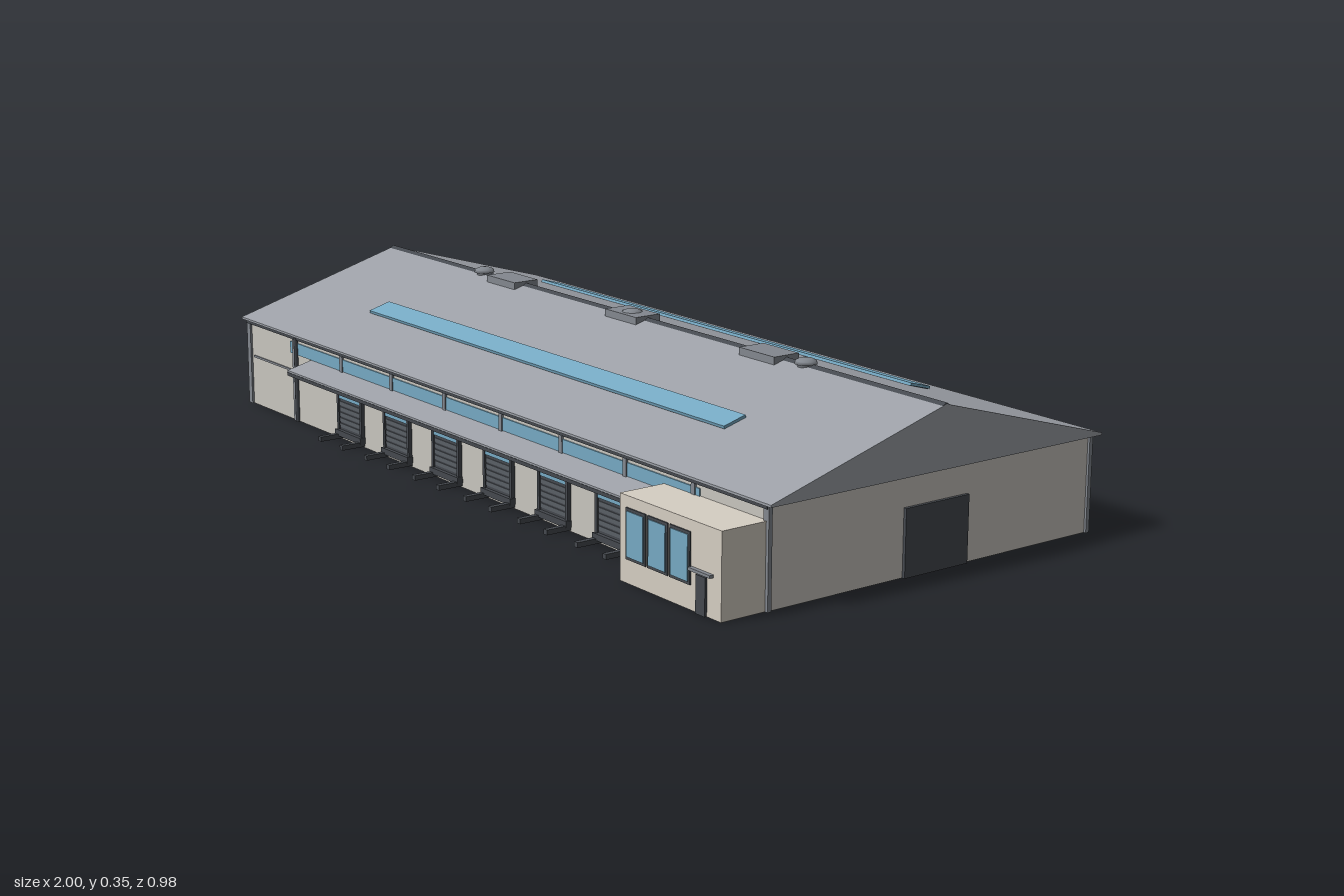
import * as THREE from 'three';

const mat = (color) => new THREE.MeshStandardMaterial({ color });
const M = {
  wall: mat(0xc9c6bf), roof: mat(0x9da1a8), office: mat(0xd6cfc3), steel: mat(0x83888f),
  dark: mat(0x45494f), slat: mat(0x5a5f66), glass: mat(0x76aac4),
};
const FRONT = 0.37, BACK = -0.47, EAVE = 0.209, RIDGE = 0.336, RIDGE_Z = -0.053;

// Box given by its limits on each axis
function block(parent, name, material, [x0, x1], [y0, y1], [z0, z1]) {
  const mesh = new THREE.Mesh(new THREE.BoxGeometry(x1 - x0, y1 - y0, z1 - z0), material);
  mesh.position.set((x0 + x1) / 2, (y0 + y1) / 2, (z0 + z1) / 2);
  mesh.name = name;
  parent.add(mesh);
  return mesh;
}

function group(parent, name) {
  const g = new THREE.Group();
  g.name = name;
  parent.add(g);
  return g;
}

// Prism with a profile of [z, y] points, running along x
function prism(parent, name, material, points, x0, x1) {
  const shape = new THREE.Shape(points.map(([z, y]) => new THREE.Vector2(-z, y)));
  const geo = new THREE.ExtrudeGeometry(shape, { depth: x1 - x0, bevelEnabled: false });
  geo.rotateY(Math.PI / 2).translate(x0, 0, 0);
  const mesh = new THREE.Mesh(geo, material);
  mesh.name = name;
  parent.add(mesh);
  return mesh;
}

// Slatted door; local z = 0 is the wall, +z points outwards
function shutter(parent, name, x, z, turned, guides) {
  const g = group(parent, name);
  g.position.set(x, 0, z);
  if (turned) g.rotation.y = Math.PI;
  block(g, 'doorPanel', M.dark, [-0.053, 0.053], [0.012, 0.123], [-0.002, 0.005]);
  for (let i = 0; i < 5; i++) {
    const y = 0.03 + i * 0.013;
    block(g, 'doorSlat', M.slat, [-0.045, 0.045], [y, y + 0.009], [0.004, 0.0065]);
  }
  for (const s of [-1, 1])
    block(g, 'doorJamb', M.dark, [s * 0.05 - 0.004, s * 0.05 + 0.004], [0.012, 0.123], [0, 0.009]);
  block(g, 'doorHeader', M.dark, [-0.057, 0.057], [0.12, 0.132], [0, 0.009]);
  if (guides) {
    block(g, 'doorWindow', M.glass, [-0.045, 0.045], [0.098, 0.11], [0.003, 0.008]);
    block(g, 'dockSill', M.dark, [-0.056, 0.056], [0.01, 0.024], [0, 0.014]);
    for (const s of [-1, 1])
      block(g, 'dockGuide', M.dark, [s * 0.048 - 0.006, s * 0.048 + 0.006], [0.003, 0.014], [0, 0.06]);
  } else {
    block(g, 'doorSill', M.dark, [-0.06, 0.06], [0.003, 0.025], [0, 0.015]);
  }
}

export function createModel() {
  const model = new THREE.Group();
  model.name = 'warehouse';

  // Hall
  block(model, 'hall', M.wall, [-0.982, 0.982], [0, 0.212], [BACK, FRONT]);

  // Roof
  prism(model, 'roof', M.roof, [[0.381, EAVE - 0.003], [0.381, EAVE + 0.002], [RIDGE_Z, RIDGE],
    [-0.487, EAVE + 0.002], [-0.487, EAVE - 0.003]], -1, 1);
  prism(model, 'ridgeCap', M.dark, [[RIDGE_Z + 0.01, RIDGE - 0.003], [RIDGE_Z, RIDGE + 0.003],
    [RIDGE_Z - 0.01, RIDGE - 0.003]], -1, 1);

  // Skylights, one on each slope
  for (const s of [-1, 1]) {
    const sky = new THREE.Mesh(new THREE.BoxGeometry(1.33, 0.006, 0.056), M.glass);
    sky.name = 'skylight';
    sky.position.set(0, 0.269, RIDGE_Z + s * 0.247);
    sky.rotation.x = s * 0.27;
    model.add(sky);
    const rim = block(sky, 'skylightCurb', M.dark, [-0.662, 0.662], [-0.008, -0.002], [-0.027, 0.027]);
    rim.name = 'skylightCurb';
  }

  // Ridge units and round vents
  for (const x of [-0.47, 0, 0.47])
    block(model, 'roofUnit', M.steel, [x - 0.057, x + 0.057], [0.322, 0.343], [RIDGE_Z - 0.033, RIDGE_Z + 0.033]);
  for (const x of [-0.588, 0, 0.588]) {
    const profile = [[0.018, 0.32], [0.018, 0.335], [0.024, 0.337], [0.022, 0.344], [0.013, 0.348], [0, 0.35]];
    const vent = new THREE.Mesh(
      new THREE.LatheGeometry(profile.map((p) => new THREE.Vector2(...p)), 20), M.steel);
    vent.name = 'roofVent';
    vent.position.set(x, 0, RIDGE_Z);
    model.add(vent);
  }

  // Posts, glazing strip, rail and gutter on both long walls
  for (const [name, z, out] of [['frontWall', FRONT, 1], ['backWall', BACK, -1]]) {
    const g = group(model, name);
    const span = (a, b) => [Math.min(z + out * a, z + out * b), Math.max(z + out * a, z + out * b)];
    for (let i = 0; i < 10; i++) {
      const x = -0.979 + i * 0.2176;
      const edge = i === 0 || i === 9;
      const low = out > 0 && i > 1 && i < 9 ? 0.15 : 0;
      const clash = out < 0 && (i === 3 || i === 6) ? 0.13 : low;
      const r = edge ? 0.008 : 0.006;
      block(g, 'post', M.steel, [x - r, x + r], [clash, 0.207], span(-0.004, 0.005));
    }
    block(g, 'glazing', M.glass, [-0.78, 0.78], [0.162, 0.19], span(-0.002, 0.003));
    if (out > 0) block(g, 'rail', M.steel, [-0.96, -0.56], [0.117, 0.122], span(0, 0.003));
    else for (const [a, b] of [[-0.97, -0.37], [-0.26, 0.26], [0.37, 0.97]])
      block(g, 'rail', M.steel, [a, b], [0.117, 0.122], span(0, 0.003));
    block(g, 'gutter', M.dark, [-0.985, 0.985], [0.199, 0.207], span(0, 0.008));
    for (const x of out > 0 ? [-0.748] : [-0.76, 0, 0.76]) {
      const pipe = new THREE.Mesh(new THREE.CylinderGeometry(0.005, 0.005, 0.205, 10), M.dark);
      pipe.name = 'downpipe';
      pipe.position.set(x, 0.1025, z + out * 0.006);
      g.add(pipe);
    }
  }

  // Loading docks under a sloping canopy
  for (let i = 0; i < 6; i++) shutter(model, 'dockDoor', -0.505 + i * 0.202, FRONT, false, true);
  for (const x of [-0.315, 0.315]) shutter(model, 'backDoor', x, BACK, true, false);
  prism(model, 'canopy', M.roof, [[0.365, 0.155], [0.365, 0.163], [0.435, 0.146], [0.435, 0.137]], -0.685, 0.672);
  block(model, 'canopyEdge', M.dark, [-0.685, 0.672], [0.134, 0.142], [0.429, 0.436]);

  // Side gate
  block(model, 'sideGate', M.dark, [0.98, 0.989], [0, 0.141], [-0.132, 0.034]);

  // Office annexe
  const office = group(model, 'office');
  block(office, 'officeBody', M.office, [0.67, 0.98], [0, 0.175], [0.365, 0.479]);
  for (const x of [0.723, 0.791, 0.859]) {
    block(office, 'windowFrame', M.dark, [x - 0.031, x + 0.031], [0.049, 0.152], [0.477, 0.482]);
    block(office, 'windowPane', M.glass, [x - 0.026, x + 0.026], [0.055, 0.146], [0.48, 0.484]);
  }
  block(office, 'officeDoor', M.dark, [0.91, 0.938], [0, 0.076], [0.477, 0.484]);
  block(office, 'doorHood', M.steel, [0.892, 0.957], [0.08, 0.086], [0.477, 0.488]);
  return model;
}
